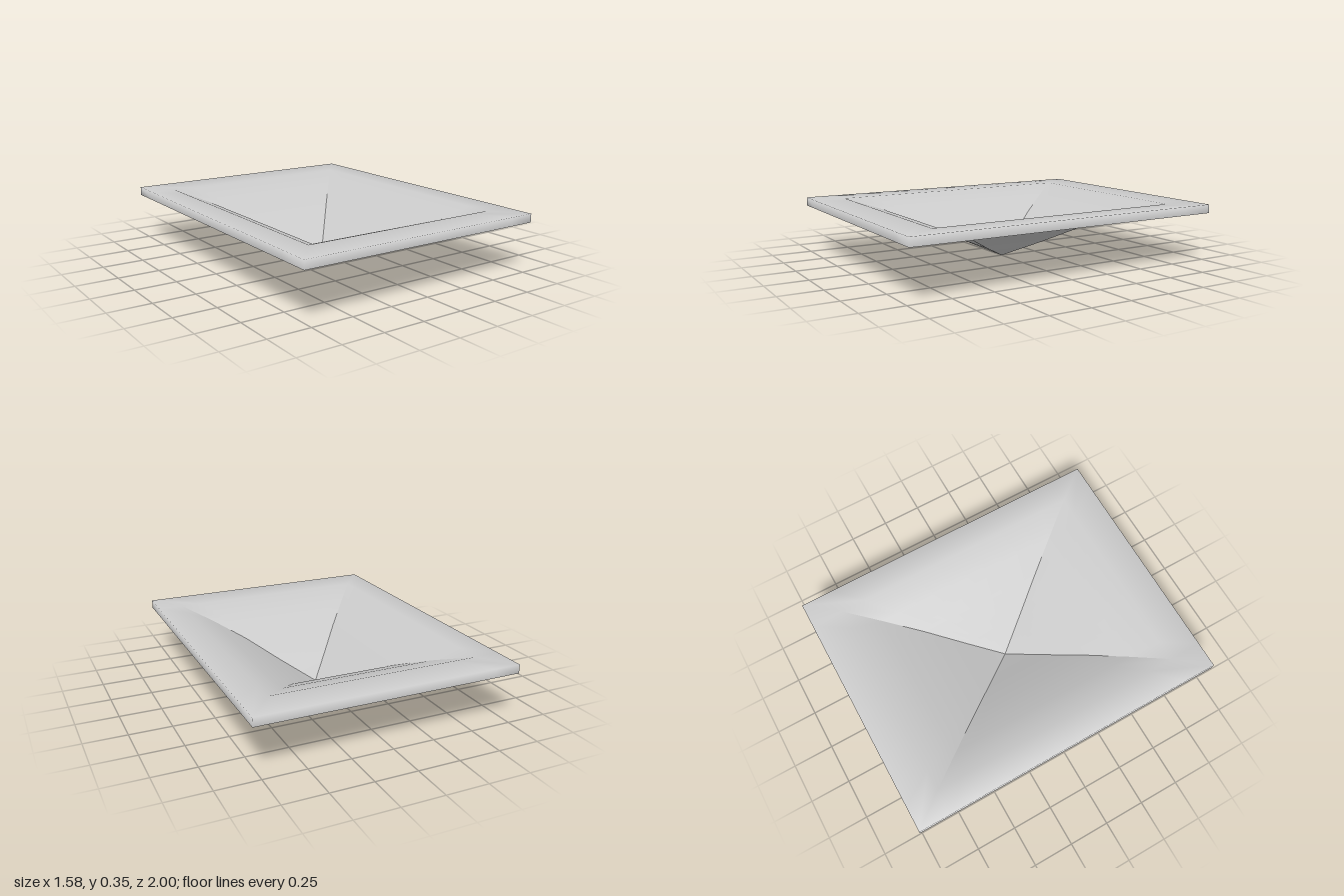
import * as THREE from 'three';

const HALF_X = 0.79, HALF_Z = 1, SEGMENTS = 10;

// Profile from the centre point outwards: [fraction of half size, height]
const PROFILE = [[0, 0], [0.2, 0.095], [0.4, 0.198], [0.6, 0.28], [0.8, 0.348], [1, 0.35], [1, 0.297]];
const FIRST_SMOOTH_RING = 4; // inside this ring the four sides meet in a crease

// Corners in order, counter-clockwise as seen from above
const CORNERS = [[-1, 1], [1, 1], [1, -1], [-1, -1]];

function sheetGeometry() {
  const positions = [], index = [], ids = new Map();

  // Neighbouring sides share their corner points only on the smooth outer rings
  function vertex(ring, side, k) {
    if (k === SEGMENTS && ring >= FIRST_SMOOTH_RING) return vertex(ring, (side + 1) % 4, 0);
    const key = `${ring}/${side}/${k}`;
    if (!ids.has(key)) {
      const [t, y] = PROFILE[ring];
      const a = CORNERS[side], b = CORNERS[(side + 1) % 4], f = k / SEGMENTS;
      ids.set(key, positions.length / 3);
      positions.push(
        t * HALF_X * (a[0] + (b[0] - a[0]) * f), y,
        t * HALF_Z * (a[1] + (b[1] - a[1]) * f));
    }
    return ids.get(key);
  }

  for (let side = 0; side < 4; side++) {
    for (let ring = 0; ring < PROFILE.length - 1; ring++) {
      for (let k = 0; k < SEGMENTS; k++) {
        const a = vertex(ring, side, k), b = vertex(ring, side, k + 1);
        const c = vertex(ring + 1, side, k), d = vertex(ring + 1, side, k + 1);
        index.push(a, c, d);
        if (ring > 0) index.push(a, d, b);
      }
    }
  }

  const geometry = new THREE.BufferGeometry();
  geometry.setAttribute('position', new THREE.Float32BufferAttribute(positions, 3));
  geometry.setIndex(index);
  geometry.computeVertexNormals();
  return geometry;
}

export function createModel() {
  const group = new THREE.Group();
  group.name = 'tray';

  // Thin sheet: sunken pyramid, flat border and a short hanging rim
  const sheet = new THREE.Mesh(
    sheetGeometry(),
    new THREE.MeshStandardMaterial({ color: 0xcccccc, side: THREE.DoubleSide }));
  sheet.name = 'sunkenSheetWithRim';
  group.add(sheet);
  return group;
}
